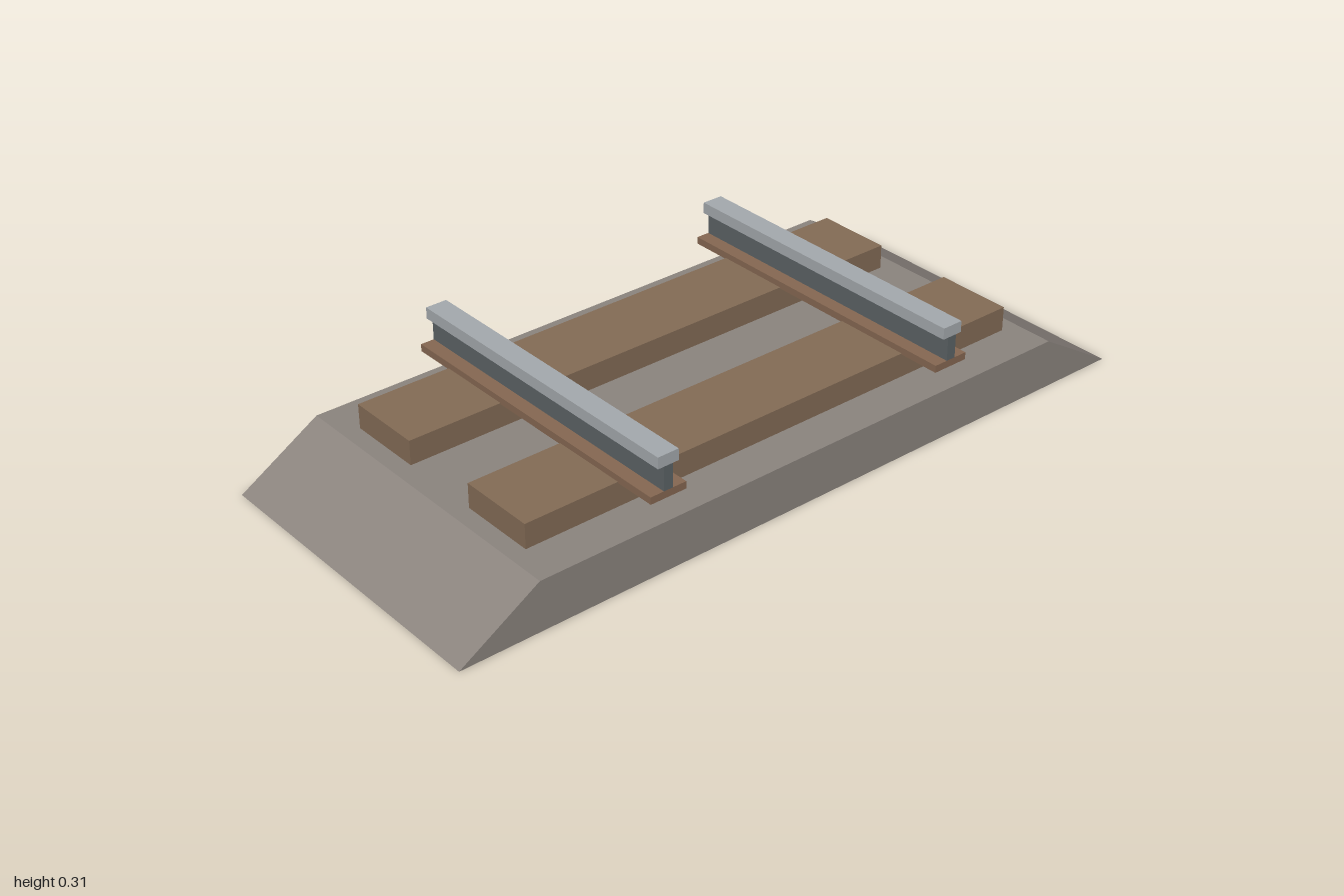
import * as THREE from 'three';

const mat = (name, color) => {
  const m = new THREE.MeshStandardMaterial({ color });
  m.name = name;
  return m;
};

export function createModel() {
  const gravel = mat('gravel', 0x8c857f);
  const wood = mat('wood', 0x846c56);
  const rust = mat('rust', 0x866852);
  const darkSteel = mat('dark steel', 0x5c6366);
  const paleSteel = mat('pale steel', 0xa5aaae);

  const track = new THREE.Group();
  track.name = 'trackSection';
  const length = 0.868;

  // Box given by its size, its bottom height and its centre in plan
  const box = (parent, name, material, w, d, bottom, top, x = 0, z = 0) => {
    const mesh = new THREE.Mesh(new THREE.BoxGeometry(w, top - bottom, d), material);
    mesh.name = name;
    mesh.position.set(x, (bottom + top) / 2, z);
    parent.add(mesh);
  };

  // Ballast bed: trapezoid section swept along x
  const section = new THREE.Shape([
    new THREE.Vector2(-1, 0), new THREE.Vector2(1, 0),
    new THREE.Vector2(0.785, 0.131), new THREE.Vector2(-0.785, 0.131),
  ]);
  const bed = new THREE.ExtrudeGeometry(section, { depth: length, bevelEnabled: false });
  bed.translate(0, 0, -length / 2).rotateY(Math.PI / 2);
  const ballast = new THREE.Mesh(bed, gravel);
  ballast.name = 'ballastBed';
  track.add(ballast);

  // Sleepers running across the track
  for (const side of [-1, 1]) {
    box(track, side > 0 ? 'leftSleeper' : 'rightSleeper', wood, 0.208, 1.476, 0.131, 0.196, side * 0.217);
  }

  // Rails: foot, web and head
  for (const side of [-1, 1]) {
    const rail = new THREE.Group();
    rail.name = side > 0 ? 'frontRail' : 'backRail';
    rail.position.z = side * 0.434;
    box(rail, 'railFoot', rust, length, 0.1, 0.193, 0.212);
    box(rail, 'railWeb', darkSteel, length, 0.026, 0.212, 0.275);
    box(rail, 'railHead', paleSteel, length, 0.058, 0.275, 0.305);
    track.add(rail);
  }
  return track;
}
